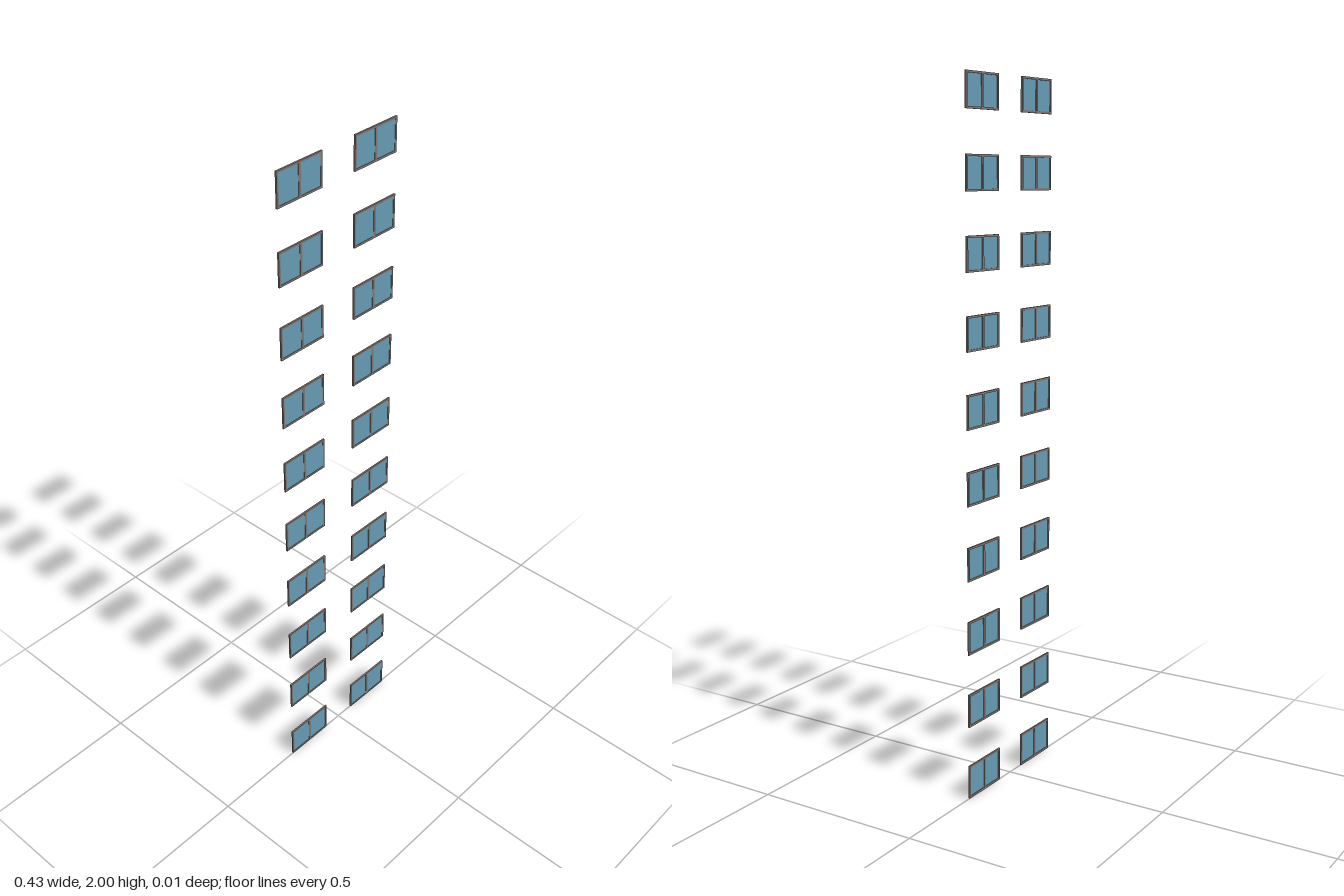
import * as THREE from 'three';

const ROWS = 10, WIDTH = 0.155, HEIGHT = 0.0965, DEPTH = 0.005;
const PITCH = (2 - HEIGHT) / (ROWS - 1);
const COLUMN_X = 0.1355, RAIL = 0.006, MULLION = 0.008;

// Rectangular path, usable as an outline or a hole
function rect(target, x0, y0, x1, y1) {
  target.moveTo(x0, y0);
  target.lineTo(x1, y0);
  target.lineTo(x1, y1);
  target.lineTo(x0, y1);
  target.closePath();
  return target;
}

// Frame with two openings separated by a central mullion
function frameGeometry() {
  const w = WIDTH / 2, h = HEIGHT / 2, m = MULLION / 2;
  const shape = rect(new THREE.Shape(), -w, -h, w, h);
  shape.holes.push(
    rect(new THREE.Path(), -w + RAIL, -h + RAIL, -m, h - RAIL),
    rect(new THREE.Path(), m, -h + RAIL, w - RAIL, h - RAIL)
  );
  return new THREE.ExtrudeGeometry(shape, { depth: DEPTH, bevelEnabled: false })
    .translate(0, 0, -DEPTH / 2);
}

export function createModel() {
  const model = new THREE.Group();
  model.name = 'windows';
  const frameMaterial = new THREE.MeshStandardMaterial({ color: 0x7d7470 });
  const glassMaterial = new THREE.MeshStandardMaterial({ color: 0x6699b3 });

  const frameGeo = frameGeometry();
  const paneWidth = (WIDTH - MULLION) / 2 - RAIL;
  const paneGeo = new THREE.BoxGeometry(paneWidth, HEIGHT - 2 * RAIL, 0.0015);

  // Two columns of identical two-pane windows
  for (const side of [-1, 1]) {
    for (let row = 0; row < ROWS; row++) {
      const unit = new THREE.Group();
      unit.name = 'window';
      unit.position.set(side * COLUMN_X, HEIGHT / 2 + row * PITCH, 0);

      const frame = new THREE.Mesh(frameGeo, frameMaterial);
      frame.name = 'windowFrame';
      unit.add(frame);

      for (const half of [-1, 1]) {
        const pane = new THREE.Mesh(paneGeo, glassMaterial);
        pane.name = half < 0 ? 'rightPane' : 'leftPane';
        pane.position.set(half * (MULLION + paneWidth) / 2, 0, 0.0005);
        unit.add(pane);
      }
      model.add(unit);
    }
  }

  // Slight turn of the whole window plane
  model.rotation.y = -0.0065;
  return model;
}
